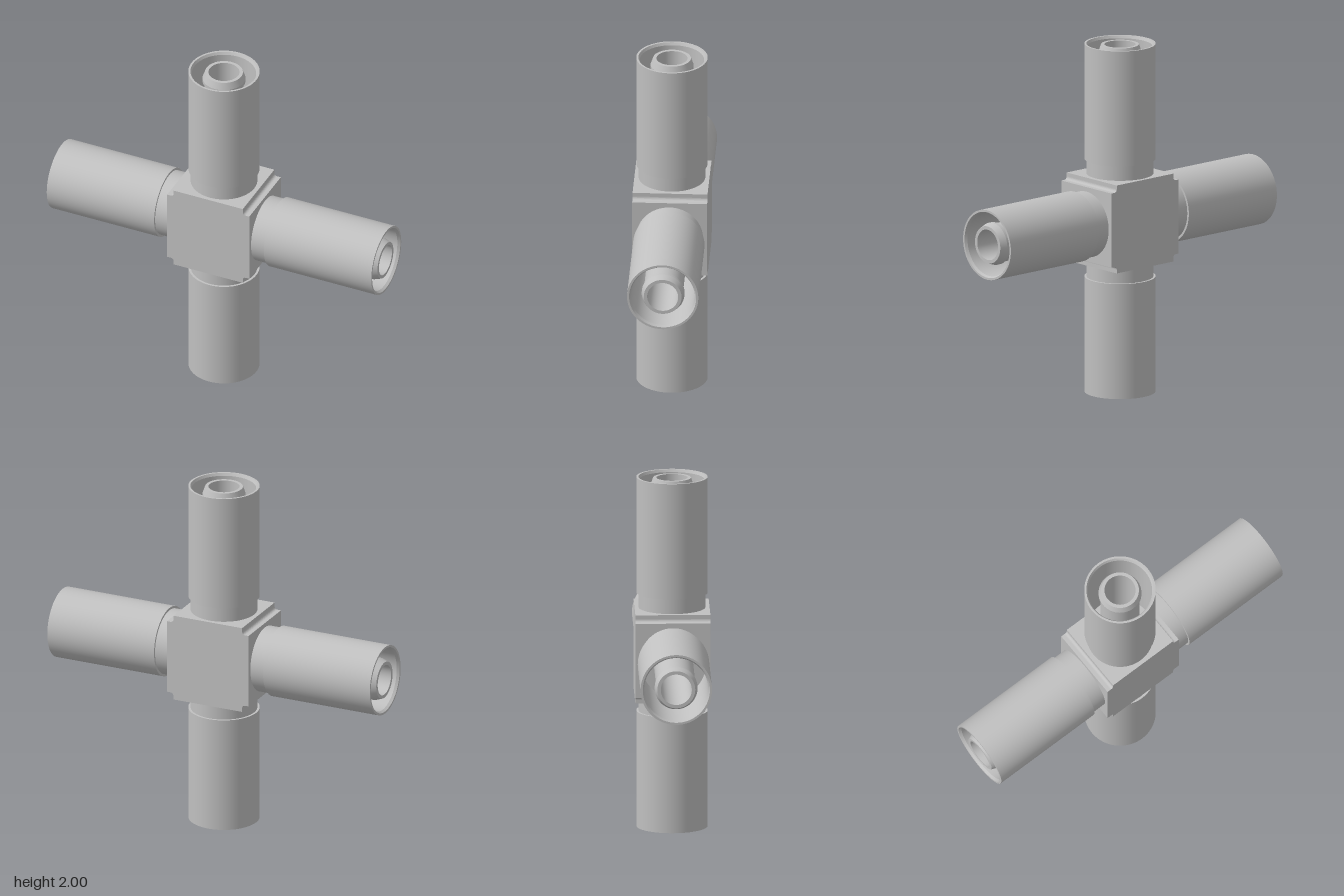
import * as THREE from 'three';
import { mergeGeometries } from 'three/addons/utils/BufferGeometryUtils.js';

const SEG = 64;
const BORE = 0.087;
const HALF = 0.253;   // body half size along the arms
const FLAT = 0.213;   // half width of each arm-side face
const DEPTH = 0.21;   // body half depth

// Lathe with hard edges between profile segments
function hardLathe(points) {
  const parts = [];
  for (let i = 0; i < points.length - 1; i++) {
    const pair = [points[i], points[i + 1]].map(([r, y]) => new THREE.Vector2(r, y));
    parts.push(new THREE.LatheGeometry(pair, SEG));
  }
  return mergeGeometries(parts);
}

// Bore wall whose inner end is mitred so the four bores meet cleanly
function boreGeometry() {
  const geo = new THREE.LatheGeometry(
    [new THREE.Vector2(BORE, 0.995), new THREE.Vector2(BORE, 0)], SEG);
  const p = geo.attributes.position;
  for (let i = 0; i < p.count; i++) {
    if (p.getY(i) < 0.1) p.setY(i, Math.abs(p.getX(i)));
  }
  return geo;
}

// Stepped corner with a small concave fillet, from the top face to the +x face
function cornerPoints() {
  const r = 0.018, inner = FLAT + r;
  const pts = [[FLAT, HALF]];
  for (let i = 0; i <= 6; i++) {
    const a = Math.PI + (i / 6) * Math.PI / 2;
    pts.push([inner + r * Math.cos(a), inner + r * Math.sin(a)]);
  }
  pts.push([HALF, FLAT]);
  return pts;
}

// Wall strip following the corner, spanning the body depth
function cornerGeometry() {
  const pts = cornerPoints(), v = [];
  for (let i = 0; i < pts.length - 1; i++) {
    const [ax, ay] = pts[i], [bx, by] = pts[i + 1];
    v.push(ax, ay, DEPTH, bx, by, DEPTH, bx, by, -DEPTH);
    v.push(ax, ay, DEPTH, bx, by, -DEPTH, ax, ay, -DEPTH);
  }
  const geo = new THREE.BufferGeometry();
  geo.setAttribute('position', new THREE.Float32BufferAttribute(v, 3));
  geo.computeVertexNormals();
  return geo;
}

// Outline of the body seen from the front, clockwise from the top left corner
function bodyOutline() {
  const pts = [];
  for (let k = 0; k < 4; k++) {
    for (const [x, y] of cornerPoints()) {
      pts.push(new THREE.Vector2(x, y).rotateAround(new THREE.Vector2(), -k * Math.PI / 2));
    }
  }
  return new THREE.Shape(pts);
}

// Arm-side face with a round opening
function sideFaceGeometry() {
  const s = new THREE.Shape();
  s.moveTo(-FLAT, -DEPTH).lineTo(FLAT, -DEPTH).lineTo(FLAT, DEPTH).lineTo(-FLAT, DEPTH);
  s.holes.push(new THREE.Path().absarc(0, 0, 0.18, 0, Math.PI * 2, true));
  return new THREE.ShapeGeometry(s, 24).rotateX(-Math.PI / 2).translate(0, HALF, 0);
}

export function createModel() {
  const metal = new THREE.MeshStandardMaterial({ color: 0xc0c0c0, side: THREE.DoubleSide });
  metal.name = 'light grey metal';
  const model = new THREE.Group();
  model.name = 'crossFitting';

  const add = (parent, name, geo) => {
    const mesh = new THREE.Mesh(geo, metal);
    mesh.name = name;
    parent.add(mesh);
    return mesh;
  };

  const neck = hardLathe([[0.187, HALF - 0.01], [0.187, 0.345]]);
  // Thin outer sleeve with a bevelled mouth, down to the socket floor
  const sleeve = hardLathe([
    [0.187, 0.338], [0.2, 0.338], [0.2, 1], [0.188, 1], [0.18, 0.985], [0.18, 0.36], [0.11, 0.36],
  ]);
  // Inner tube with a tapered nose
  const tube = hardLathe([
    [0.11, 0.36], [0.11, 0.93], [0.12, 0.935], [0.12, 0.955], [0.106, 0.995], [BORE, 0.995],
  ]);
  const bore = boreGeometry();
  const sideFace = sideFaceGeometry();
  const corner = cornerGeometry();

  // Central block: front and back plates
  const body = new THREE.Group();
  body.name = 'body';
  body.position.y = 1;
  model.add(body);
  const plate = new THREE.ShapeGeometry(bodyOutline());
  add(body, 'frontPlate', plate).position.z = DEPTH;
  const back = add(body, 'backPlate', plate);
  back.position.z = -DEPTH;
  back.rotation.y = Math.PI;

  // Four identical arms around the block
  ['topArm', 'leftArm', 'bottomArm', 'rightArm'].forEach((name, k) => {
    const arm = new THREE.Group();
    arm.name = name;
    arm.position.y = 1;
    arm.rotation.z = -k * Math.PI / 2;
    add(arm, 'neck', neck);
    add(arm, 'sleeve', sleeve);
    add(arm, 'innerTube', tube);
    add(arm, 'bore', bore);
    add(arm, 'bodySide', sideFace);
    add(arm, 'bodyCorner', corner);
    model.add(arm);
  });
  return model;
}
